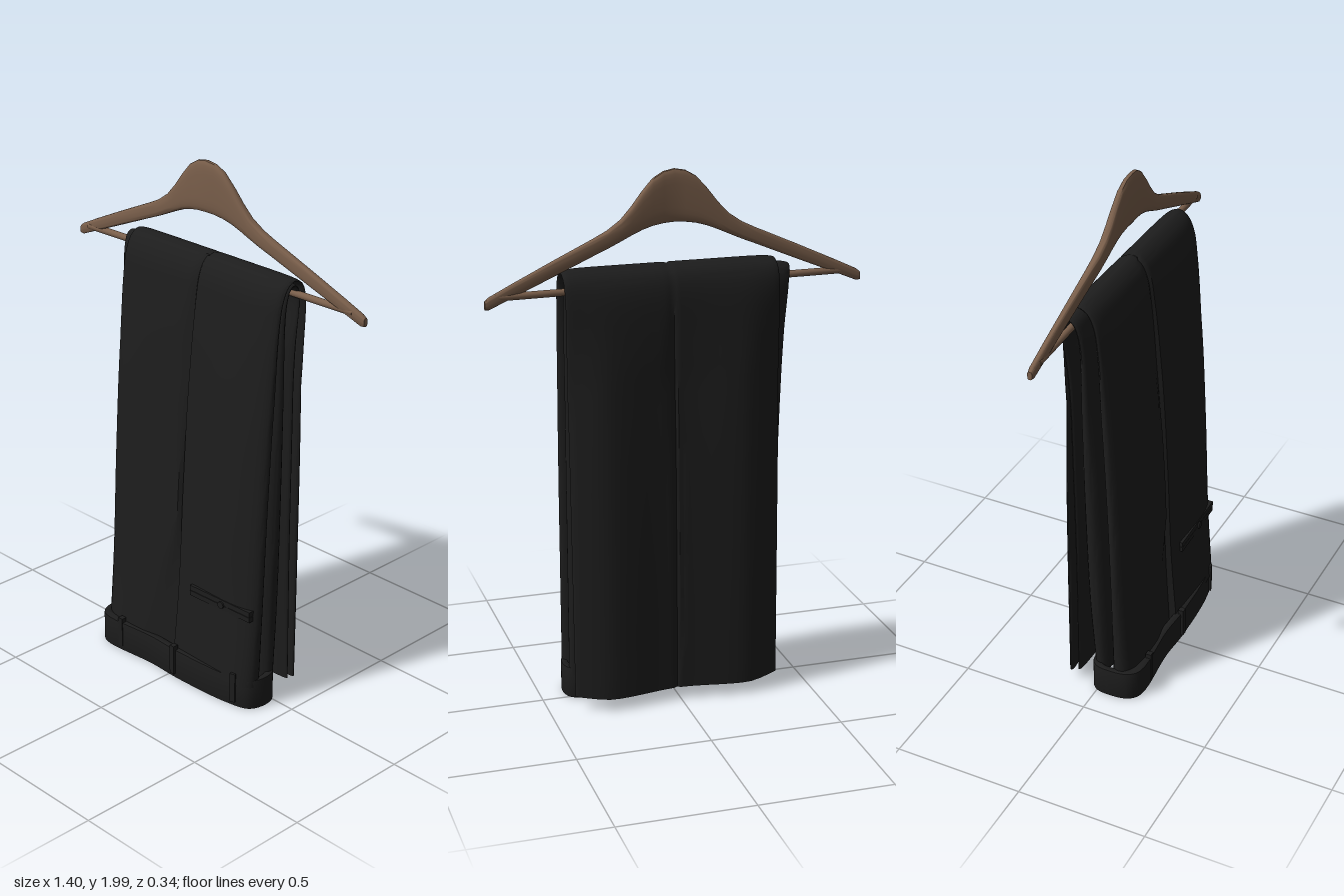
import * as THREE from 'three';
import { toCreasedNormals } from 'three/addons/utils/BufferGeometryUtils.js';

const cloth = new THREE.MeshStandardMaterial({ color: 0x1d1d1d });
cloth.name = 'black cloth';
const wood = new THREE.MeshStandardMaterial({ color: 0x7a5f4b });
wood.name = 'brown wood';

// Joins closed rings of points into a capped skin; capDepth pushes the end caps inwards.
function loft(rings, capDepth = 0) {
  const n = rings[0].length, pos = [], idx = [];
  rings.forEach(r => r.forEach(p => pos.push(p.x, p.y, p.z)));
  for (let i = 0; i < rings.length - 1; i++) {
    for (let j = 0; j < n; j++) {
      const a = i * n + j, b = i * n + (j + 1) % n;
      idx.push(a, b, b + n, a, b + n, a + n);
    }
  }
  [0, rings.length - 1].forEach((k, end) => {
    const c = new THREE.Vector3();
    rings[k].forEach(p => c.addScaledVector(p, 1 / n));
    const centre = pos.length / 3;
    pos.push(c.x, c.y + capDepth, c.z);
    for (let j = 0; j < n; j++) {
      const a = k * n + j, b = k * n + (j + 1) % n;
      if (end) idx.push(centre, a, b); else idx.push(centre, b, a);
    }
  });
  const g = new THREE.BufferGeometry();
  g.setAttribute('position', new THREE.Float32BufferAttribute(pos, 3));
  g.setIndex(idx);
  return toCreasedNormals(g, 0.7);
}

function add(parent, name, geometry, material, x = 0, y = 0, z = 0) {
  const m = new THREE.Mesh(geometry, material);
  m.name = name;
  m.position.set(x, y, z);
  parent.add(m);
  return m;
}

// Side profiles (y, z) of the folded cloth, front waist over the bar to the back hem
const curve = pts => new THREE.CatmullRomCurve3(pts.map(([y, z]) => new THREE.Vector3(0, y, z)), false, 'centripetal');
const outer = curve([[0.1, 0.148], [0.4, 0.122], [0.8, 0.102], [1.2, 0.076], [1.5, 0.04], [1.6, 0.02], [1.65, -0.01],
  [1.67, -0.05], [1.65, -0.095], [1.6, -0.125], [1.4, -0.15], [1.1, -0.165], [0.6, -0.171], [0.055, -0.169]]);
const middle = curve([[0.1, 0.05], [0.4, 0.045], [0.8, 0.033], [1.2, 0.015], [1.5, 0], [1.59, -0.015], [1.635, -0.035],
  [1.65, -0.06], [1.635, -0.09], [1.59, -0.108], [1.4, -0.113], [1.1, -0.116], [0.6, -0.116], [0.06, -0.12]]);
const inner = curve([[0.1, -0.033], [0.4, -0.05], [0.8, -0.056], [1.2, -0.053], [1.5, -0.047], [1.57, -0.05], [1.61, -0.06],
  [1.62, -0.07], [1.61, -0.083], [1.57, -0.088], [1.4, -0.064], [1.1, -0.061], [0.6, -0.062], [0.06, -0.075]]);

// Soft sideways swell of the hanging cloth: full at two thirds, hollow in the middle, falling off at the edges
const { smoothstep, clamp, lerp } = THREE.MathUtils;
function swell(u, y, front) {
  const a = Math.abs(u);
  const dip = 0.026 * (1 - smoothstep(a, 0, 0.65)) + 0.045 * smoothstep(a, 0.65, 1.05);
  return -dip * clamp((1.65 - y) / 0.4, 0, 1) * (front ? 0.25 : 1);
}

// Width of the sunken crease beside the centre line
function creaseWidth(y, front) {
  if (front && y < 0.6) return 0.05 + 0.36 * (0.6 - y) / 0.46;
  return 0.05 + 0.08 * Math.exp(-(((y - 1.3) / 0.2) ** 2));
}

// One flattened trouser leg between two side profiles; swells sets how far each face follows the swell
function legLayer(top, under, left, right, fold, swells) {
  const half = [0.05, 0.1, 0.16, 0.23, 0.31, 0.4, 0.5, 0.6, 0.7, 0.8, 0.88, 0.94, 0.98, 0.995];
  const us = [-1, ...half.map(u => -u).reverse(), -0.012, 0.012, ...half, 1];
  const rings = [], steps = 78;
  for (let i = 0; i <= steps; i++) {
    const t = i / steps, a = top.getPoint(t), b = under.getPoint(t), front = t < 0.5;
    const mid = a.clone().add(b).multiplyScalar(0.5), dir = a.clone().sub(mid);
    const unit = dir.clone().normalize(), w = creaseWidth(a.y, front);
    const point = (u, s) => {
      const side = front ? -u : u;
      let h = Math.sqrt(1 - Math.abs(u) ** 12);
      if (s > 0 && side > 0 && side < w) h -= fold * (1 - side / w);
      const p = mid.clone().addScaledVector(dir, s * h);
      p.addScaledVector(unit, swell(u, a.y, front) * lerp(swells[1], swells[0], (s * h + 1) / 2));
      p.x = lerp(left(t), right(t), (u + 1) / 2);
      return p;
    };
    rings.push([...us.map(u => point(u, 1)), ...us.slice(1, -1).reverse().map(u => point(u, -1))]);
  }
  return loft(rings, 0.03);
}

export function createModel() {
  const model = new THREE.Group();
  model.name = 'trousersOnHanger';

  // Hanger arms: x, top edge, bottom edge, depth, mirrored with their own sweep in z
  const hanger = new THREE.Group();
  hanger.name = 'hanger';
  model.add(hanger);
  const arm = [[0, 2, 1.81, 0.03], [0.04, 1.993, 1.808, 0.03], [0.08, 1.97, 1.802, 0.031], [0.12, 1.926, 1.791, 0.032],
    [0.16, 1.875, 1.775, 0.033], [0.2, 1.832, 1.757, 0.033], [0.25, 1.798, 1.735, 0.032], [0.3, 1.774, 1.715, 0.03],
    [0.45, 1.708, 1.653, 0.026], [0.6, 1.64, 1.592, 0.024], [0.685, 1.6, 1.557, 0.022], [0.7, 1.588, 1.558, 0.018]];
  const stations = [...arm.slice(1).reverse().map(([x, ...r]) => [-x, ...r]), ...arm];
  add(hanger, 'hangerArms', loft(stations.map(([x, hi, lo, d]) => {
    const z = -0.042 - (x > 0 ? 0.09 * x : -0.033 * x);
    return Array.from({ length: 24 }, (_, k) => {
      const q = k / 24 * Math.PI * 2, c = Math.cos(q), s = Math.sin(q);
      return new THREE.Vector3(x, (hi + lo) / 2 + (hi - lo) / 2 * Math.sign(c) * Math.abs(c) ** 0.6,
        z + d / 2 * Math.sign(s) * Math.abs(s) ** 0.6);
    });
  })), wood);
  const bar = add(hanger, 'hangerBar', new THREE.CylinderGeometry(0.013, 0.013, 1.3, 16), wood, 0, 1.597, -0.08);
  bar.rotation.set(0, 0.03, Math.PI / 2, 'YXZ');

  // Folded legs
  const trousers = new THREE.Group();
  trousers.name = 'trousers';
  model.add(trousers);
  const peak = t => Math.sin(t * Math.PI);
  add(trousers, 'outerLeg', legLayer(outer, middle,
    t => lerp(-0.385, -0.372, peak(t)), t => lerp(0.402, 0.42, peak(t)), 0.55, [1, 0.55]), cloth);
  add(trousers, 'innerLeg', legLayer(middle, inner,
    t => lerp(-0.37, -0.425, peak(t)), t => lerp(0.395, 0.405, peak(t)), 0, [0.55, 0]), cloth);

  // Waistband ring hanging at the bottom of the front
  const outline = [[-0.4, 0.06], [-0.388, 0.13], [-0.35, 0.163], [-0.1, 0.152], [0.05, 0.157], [0.3, 0.142], [0.39, 0.115],
    [0.412, 0.06], [0.4, 0], [0.35, -0.027], [0, -0.03], [-0.36, -0.027], [-0.392, 0]];
  const loop = (sx, sz) => new THREE.CatmullRomCurve3(
    outline.map(([x, z]) => new THREE.Vector3(x * sx, -((z - 0.06) * sz + 0.06), 0)), true)
    .getPoints(72).slice(0, -1).map(p => new THREE.Vector2(p.x, p.y));
  const band = new THREE.Shape(loop(0.99, 0.97));
  band.holes.push(new THREE.Path(loop(0.95, 0.76)));
  const bandGeo = new THREE.ExtrudeGeometry(band, {
    depth: 0.11, bevelEnabled: true, bevelSize: 0.004, bevelThickness: 0.006, bevelSegments: 2 });
  bandGeo.rotateX(-Math.PI / 2);
  add(trousers, 'waistband', toCreasedNormals(bandGeo, 0.7), cloth, 0, 0.014, 0);

  // Belt loops
  [[-0.26, 0.158, 0.03], [0.03, 0.157, 0], [0.33, 0.136, 0.28]].forEach(([x, z, turn]) => {
    add(trousers, 'beltLoop', new THREE.BoxGeometry(0.022, 0.12, 0.022), cloth, x, 0.088, z).rotation.y = turn;
  });

  // Welt pocket with a button
  const pocket = new THREE.Group();
  pocket.name = 'pocket';
  pocket.position.set(0.24, 0.398, 0.113);
  pocket.rotation.y = 0.03;
  trousers.add(pocket);
  [-0.011, 0.011].forEach(y => add(pocket, 'pocketWelt', new THREE.BoxGeometry(0.3, 0.02, 0.022), cloth, 0, y, 0));
  add(pocket, 'pocketButton', new THREE.CylinderGeometry(0.014, 0.014, 0.01, 16), cloth, 0.01, 0, 0.012).rotation.x = Math.PI / 2;

  return model;
}
